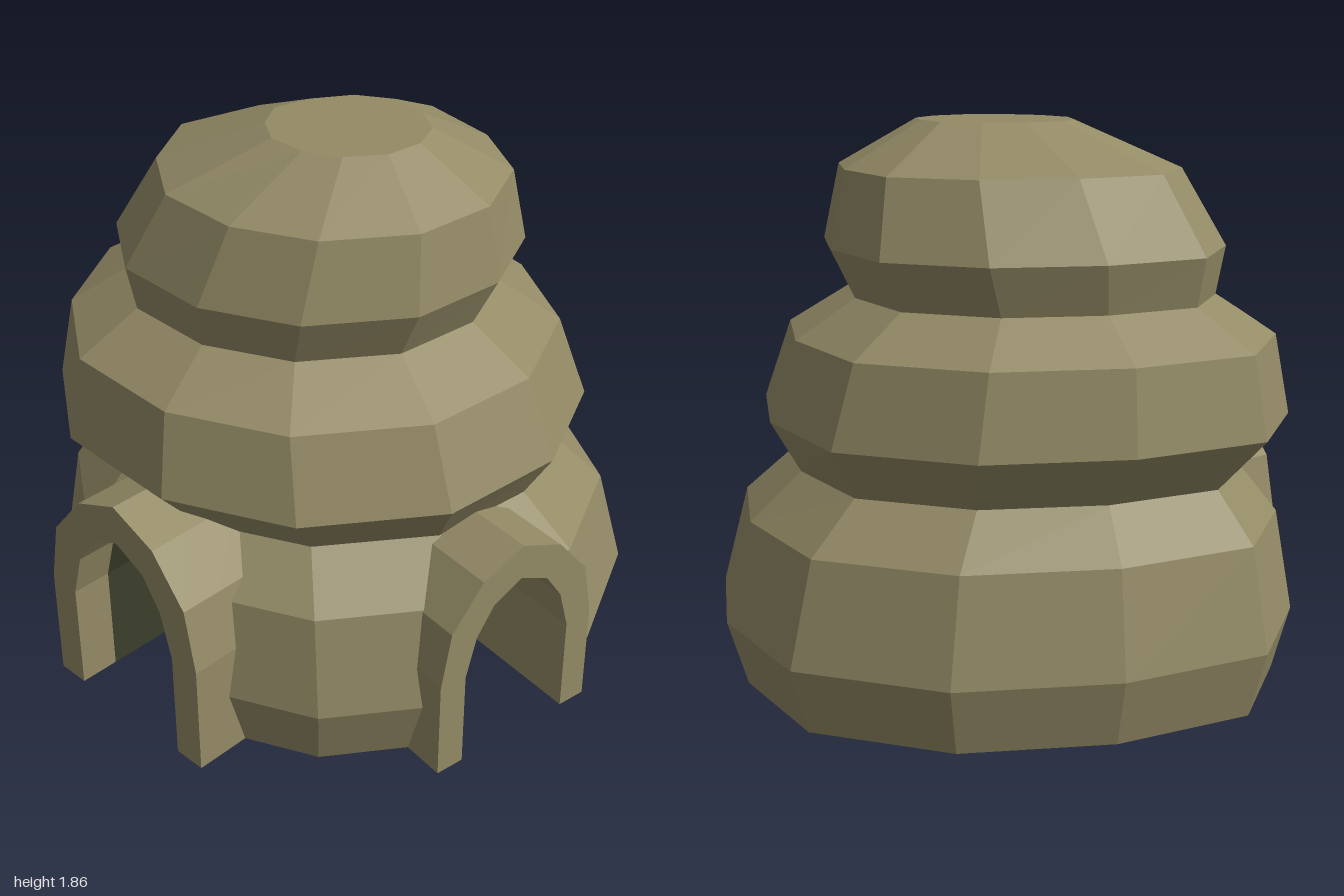
import * as THREE from 'three';

const clay = new THREE.MeshStandardMaterial({ color: 0x948b66, flatShading: true });
const dark = new THREE.MeshStandardMaterial({ color: 0x3c3f2b, flatShading: true });

// Uneven twelve-sided outline shared by every tier (x, z)
const OUTLINE = [[0, -1], [0.52, -0.9], [0.85, -0.48], [1, 0], [0.87, 0.5], [0.52, 0.87],
  [0, 1], [-0.48, 0.86], [-0.87, 0.49], [-1, 0], [-0.93, -0.5], [-0.51, -0.83]];

// Tier rings: height, x min, x max, z min, z max
const RINGS = [
  [0, -0.94, 0.93, -0.9, 0.87], [0.22, -1, 1, -0.96, 0.93], [0.56, -0.94, 0.91, -0.88, 0.86],
  [0.72, -0.81, 0.73, -0.72, 0.69], [0.9, -0.97, 0.83, -0.87, 0.84], [1.17, -0.92, 0.73, -0.82, 0.75],
  [1.3, -0.72, 0.52, -0.63, 0.53], [1.46, -0.75, 0.6, -0.69, 0.59], [1.71, -0.6, 0.55, -0.58, 0.52],
  [1.86, -0.24, 0.29, -0.24, 0.25],
];

// Half arch sections (half width, height), from the ground to the crown
const OUTER = [[0.36, 0], [0.36, 0.4], [0.317, 0.62], [0.18, 0.785], [0, 0.86]];
const INNER = [[0.245, 0], [0.245, 0.39], [0.2, 0.55], [0.125, 0.66], [0, 0.72]];
const COLLAR = INNER.map(([x, y]) => [x * 1.12, y * 1.05]);

const DOORS = [
  { name: 'rightDoorway', x: -0.657, z: 0.72, angle: -0.696, size: 1, lining: dark },
  { name: 'leftDoorway', x: 0.625, z: 0.7, angle: 0.73, size: 0.895, lining: clay },
];
const FRAME_DEPTH = 0.14, COLLAR_DEPTH = 0.36, PASSAGE_DEPTH = 0.9;

// Full arch, counter-clockwise from the lower right to the lower left
function arch(half, size) {
  const left = half.slice(0, -1).reverse().map(([x, y]) => [-x, y]);
  return [...half, ...left].map(([x, y]) => new THREE.Vector2(x * size, y * size));
}

function doorMatrix(d) {
  return new THREE.Matrix4().makeRotationY(d.angle).setPosition(d.x, 0, d.z);
}

// Planes bounding a passage, open at the front and below
function passagePlanes(d) {
  const pts = arch(INNER, d.size), m = doorMatrix(d);
  const planes = [];
  for (let i = 0; i < pts.length - 1; i++) {
    const e = pts[i + 1].clone().sub(pts[i]);
    planes.push(new THREE.Plane().setFromNormalAndCoplanarPoint(
      new THREE.Vector3(e.y, -e.x, 0).normalize(), new THREE.Vector3(pts[i].x, pts[i].y, 0)));
  }
  planes.push(new THREE.Plane(new THREE.Vector3(0, 0, -1), -PASSAGE_DEPTH));
  return planes.map((p) => p.applyMatrix4(m));
}

// Split a convex polygon by a plane and keep one side
function clip(poly, plane, side) {
  const out = [];
  poly.forEach((a, i) => {
    const b = poly[(i + 1) % poly.length];
    const da = plane.distanceToPoint(a) * side, db = plane.distanceToPoint(b) * side;
    if (da >= 0) out.push(a);
    if ((da > 0 && db < 0) || (da < 0 && db > 0)) out.push(a.clone().lerp(b, da / (da - db)));
  });
  return out;
}

// Remove a passage volume from a list of polygons
function carve(polys, planes) {
  const kept = [];
  for (const poly of polys) {
    if (planes.some((p) => poly.every((v) => p.distanceToPoint(v) >= -1e-6))) { kept.push(poly); continue; }
    let rest = poly;
    for (const p of planes) {
      const outside = clip(rest, p, 1);
      if (outside.length > 2) kept.push(outside);
      rest = clip(rest, p, -1);
      if (rest.length < 3) break;
    }
  }
  return kept;
}

function polyMesh(name, polys, material) {
  const pos = [];
  for (const p of polys) {
    for (let i = 1; i < p.length - 1; i++) {
      for (const v of [p[0], p[i], p[i + 1]]) pos.push(v.x, v.y, v.z);
    }
  }
  const g = new THREE.BufferGeometry();
  g.setAttribute('position', new THREE.Float32BufferAttribute(pos, 3));
  g.computeVertexNormals();
  const mesh = new THREE.Mesh(g, material);
  mesh.name = name;
  return mesh;
}

// Stacked tiers with flat top and base
function bodyPolys() {
  const rings = RINGS.map(([y, x0, x1, z0, z1]) => OUTLINE.map(([x, z]) => new THREE.Vector3(
    (x0 + x1) / 2 + x * (x1 - x0) / 2, y, (z0 + z1) / 2 + z * (z1 - z0) / 2)));
  const polys = [rings[0], [...rings[rings.length - 1]].reverse()];
  for (let r = 0; r < rings.length - 1; r++) {
    const lo = rings[r], hi = rings[r + 1];
    for (let i = 0; i < lo.length; i++) {
      const j = (i + 1) % lo.length;
      polys.push([lo[j], lo[i], hi[i]], [lo[j], hi[i], hi[j]]);
    }
  }
  return polys;
}

// Extruded arch band running back from the door face
function band(name, d, inner, depth, front) {
  const shape = new THREE.Shape([...arch(OUTER, d.size), ...arch(inner, d.size).reverse()]);
  const g = new THREE.ExtrudeGeometry(shape, { depth, bevelEnabled: false });
  g.translate(0, 0, front - depth);
  const mesh = new THREE.Mesh(g.applyMatrix4(doorMatrix(d)), clay);
  mesh.name = name;
  return mesh;
}

export function createModel() {
  const model = new THREE.Group();
  model.name = 'hut';
  const cuts = DOORS.map(passagePlanes);

  let body = bodyPolys();
  cuts.forEach((c) => { body = carve(body, c); });
  model.add(polyMesh('tieredBody', body, clay));

  DOORS.forEach((d, k) => {
    const door = new THREE.Group();
    door.name = d.name;
    door.add(band('doorFrame', d, INNER, FRAME_DEPTH, 0));
    door.add(band('doorCollar', d, COLLAR, COLLAR_DEPTH - FRAME_DEPTH, -FRAME_DEPTH));

    // Passage lining and end wall, opened where the two passages meet
    const m = doorMatrix(d), pts = arch(INNER, d.size);
    const at = (p, z) => new THREE.Vector3(p.x, p.y, z).applyMatrix4(m);
    const walls = [];
    for (let i = 0; i < pts.length - 1; i++) {
      const a = pts[i], b = pts[i + 1];
      walls.push([at(a, -FRAME_DEPTH), at(b, -FRAME_DEPTH), at(b, -PASSAGE_DEPTH), at(a, -PASSAGE_DEPTH)]);
    }
    const end = [pts.map((p) => at(p, -PASSAGE_DEPTH))];
    door.add(polyMesh('passageLining', carve(walls, cuts[1 - k]), d.lining));
    door.add(polyMesh('passageEnd', carve(end, cuts[1 - k]), dark));
    model.add(door);
  });
  return model;
}
